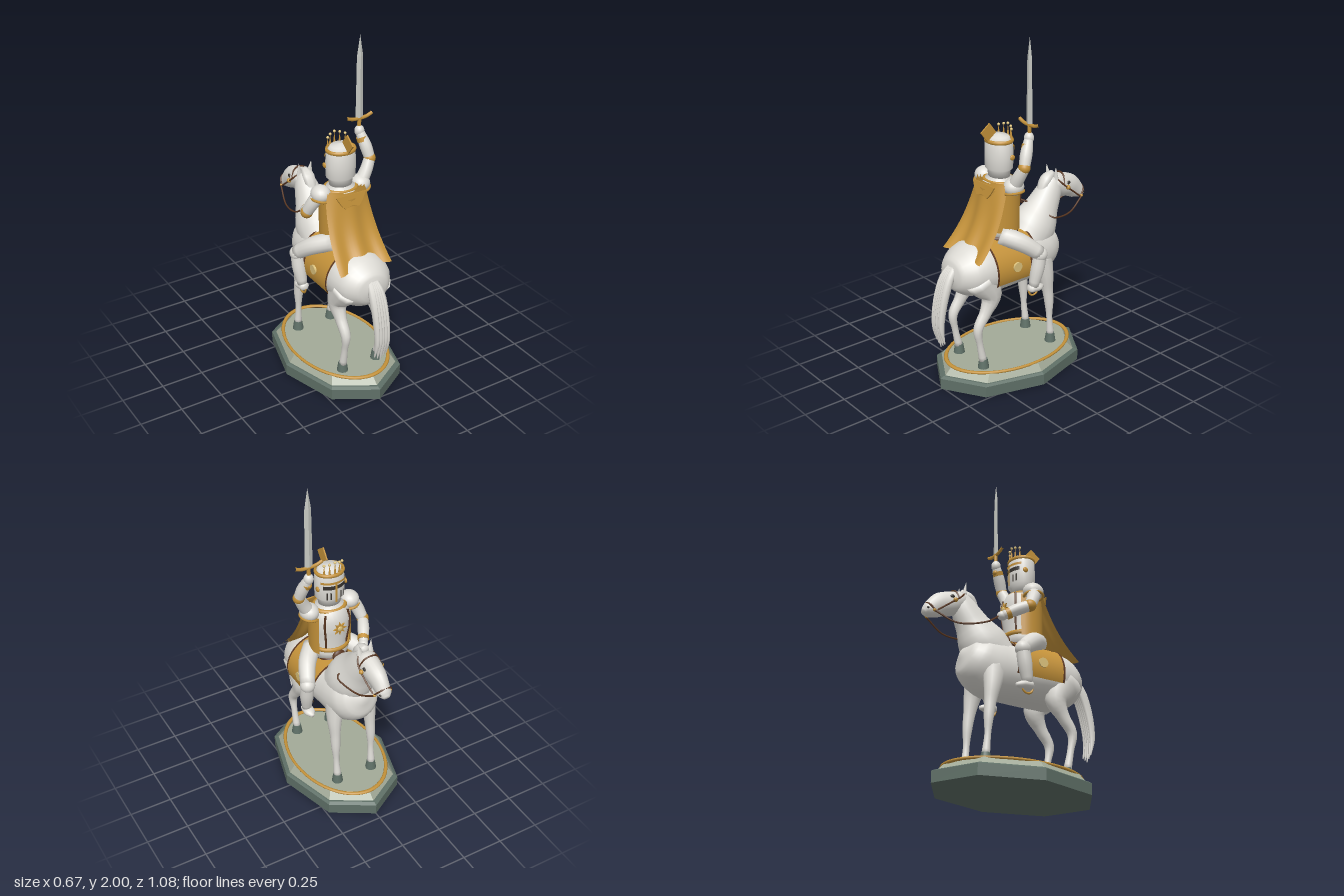
import * as THREE from 'three';

const mat = (name, color, double) => {
  const m = new THREE.MeshStandardMaterial({ color });
  m.name = name;
  if (double) m.side = THREE.DoubleSide;
  return m;
};
const V = (x, y, z) => new THREE.Vector3(x, y, z);

// Smooth closed body through points [x, y, z, rSide, rUp]
function loft(pts, radial = 14, steps = 4) {
  const curve = new THREE.CatmullRomCurve3(pts.map(p => V(p[0], p[1], p[2])));
  const radii = new THREE.CatmullRomCurve3(pts.map(p => V(p[3], p[4] ?? p[3], 0)));
  const n = (pts.length - 1) * steps, pos = [], idx = [];
  for (let i = 0; i <= n; i++) {
    const u = i / n, c = curve.getPoint(u), r = radii.getPoint(u), t = curve.getTangent(u);
    const side = V(1, 0, 0).addScaledVector(t, -t.x).normalize();
    const up = t.clone().cross(side);
    for (let j = 0; j < radial; j++) {
      const a = j / radial * Math.PI * 2;
      const p = c.clone().addScaledVector(side, Math.cos(a) * r.x).addScaledVector(up, Math.sin(a) * r.y);
      pos.push(p.x, p.y, p.z);
    }
  }
  for (let i = 0; i < n; i++) for (let j = 0; j < radial; j++) {
    const a = i * radial + j, b = i * radial + (j + 1) % radial;
    idx.push(a, b, a + radial, b, b + radial, a + radial);
  }
  const first = pts[0], last = pts[pts.length - 1], k = (n + 1) * radial, e = n * radial;
  pos.push(first[0], first[1], first[2], last[0], last[1], last[2]);
  for (let j = 0; j < radial; j++) {
    const q = (j + 1) % radial;
    idx.push(k, q, j, k + 1, e + j, e + q);
  }
  const g = new THREE.BufferGeometry();
  g.setAttribute('position', new THREE.Float32BufferAttribute(pos, 3));
  g.setIndex(idx);
  g.computeVertexNormals();
  return g;
}
const tube = (pts, r) => new THREE.TubeGeometry(new THREE.CatmullRomCurve3(pts.map(p => V(...p))), 20, r, 6);

export function createModel() {
  const model = new THREE.Group();
  const white = mat('white', 0xdedcd6), gold = mat('gold', 0xc4923a), cloth = mat('goldCloth', 0xc4923a, true);
  const green = mat('darkGreen', 0x5f7067), sage = mat('sage', 0xa2aa98), brown = mat('brown', 0x5b3822);
  const steel = mat('steel', 0xc6c8c2), dark = mat('dark', 0x38342f), pale = mat('paleGold', 0xdcc27c);
  const add = (name, g, m, p = [0, 0, 0], s = [1, 1, 1], r = [0, 0, 0]) => {
    const mesh = new THREE.Mesh(g, m);
    mesh.name = name;
    mesh.position.set(...p); mesh.scale.set(...s); mesh.rotation.set(...r);
    model.add(mesh);
    return mesh;
  };
  const ball = (name, m, p, s) => add(name, new THREE.SphereGeometry(1, 20, 14), m, p, typeof s === 'number' ? [s, s, s] : s);
  // Collar around a limb at point a, facing along a to b
  const cuff = (name, a, b, r, h = 0.025, m = gold) => {
    const c = add(name, new THREE.CylinderGeometry(r, r, h, 16), m, a);
    c.quaternion.setFromUnitVectors(V(0, 1, 0), V(...b).sub(V(...a)).normalize());
  };

  // Plinth: stretched octagon tiers with a gold ring
  const tier = (name, rt, rb, y0, y1, m) => {
    const g = new THREE.CylinderGeometry(rt, rb, y1 - y0, 8).toNonIndexed();
    g.computeVertexNormals();
    add(name, g, m, [0, (y0 + y1) / 2, 0.027], [1, 1, 1.46]);
  };
  tier('plinthBase', 0.333, 0.333, 0, 0.065, green);
  tier('plinthBevel', 0.318, 0.333, 0.065, 0.075, green);
  tier('plinthTop', 0.282, 0.31, 0.075, 0.115, sage);
  add('plinthRing', new THREE.TorusGeometry(0.266, 0.009, 8, 48), gold, [0, 0.117, 0.027], [1, 1.52, 0.9], [Math.PI / 2, 0, 0]);

  // Horse
  add('horseBody', loft([[0, 0.69, 0.44, 0.03, 0.03], [0, 0.69, 0.42, 0.1, 0.09], [0, 0.69, 0.35, 0.16, 0.14],
    [0, 0.695, 0.24, 0.18, 0.168], [0, 0.68, 0.1, 0.172, 0.15], [0, 0.69, -0.03, 0.162, 0.162], [0, 0.7, -0.12, 0.155, 0.175],
    [0, 0.725, -0.21, 0.14, 0.15], [0, 0.75, -0.27, 0.1, 0.1], [0, 0.76, -0.3, 0.02, 0.02]], 24), white);
  add('horseNeck', loft([[0, 0.74, -0.07, 0.13, 0.12], [0, 0.83, -0.16, 0.13, 0.14], [0, 0.94, -0.235, 0.09, 0.098],
    [0, 1.03, -0.29, 0.065, 0.075], [0, 1.09, -0.32, 0.045, 0.05]], 20), white);
  add('horseHead', loft([[0, 1.08, -0.275, 0.03, 0.03], [0, 1.06, -0.31, 0.058, 0.06], [0, 1.035, -0.37, 0.058, 0.07],
    [0, 1.015, -0.43, 0.052, 0.068], [0, 0.98, -0.48, 0.043, 0.055], [0, 0.955, -0.515, 0.038, 0.036], [0, 0.942, -0.535, 0.018, 0.016]], 18), white);
  add('horseMane', loft([[0, 1.12, -0.31, 0.02], [0, 1.09, -0.255, 0.038, 0.03], [0, 1.0, -0.205, 0.025, 0.02], [0, 0.9, -0.12, 0.01]], 8), white);
  for (const s of [-1, 1]) {
    add('horseEar', new THREE.ConeGeometry(0.02, 0.075, 8), white, [s * 0.037, 1.13, -0.3], [1, 1, 0.7], [0.1, 0, -s * 0.12]);
    ball('horseEye', dark, [s * 0.053, 1.055, -0.385], [0.007, 0.011, 0.013]);
    ball('horseNostril', dark, [s * 0.033, 0.963, -0.52], 0.007);
    add('foreLeg', loft([[s * 0.09, 0.68, -0.14, 0.06, 0.08], [s * 0.112, 0.56, -0.165, 0.042, 0.05], [s * 0.116, 0.46, -0.18, 0.03, 0.034],
      [s * 0.118, 0.37, -0.19, 0.026, 0.027], [s * 0.117, 0.27, -0.195, 0.017, 0.018], [s * 0.115, 0.16, -0.205, 0.023, 0.023]], 12), white);
    add('hindLeg', loft([[s * 0.1, 0.68, 0.3, 0.075, 0.11], [s * 0.112, 0.55, 0.235, 0.055, 0.065], [s * 0.117, 0.46, 0.275, 0.033, 0.038],
      [s * 0.118, 0.37, 0.332, 0.028, 0.028], [s * 0.117, 0.27, 0.32, 0.018, 0.019], [s * 0.115, 0.16, 0.298, 0.023, 0.023]], 12), white);
    for (const z of [-0.205, 0.295]) add('hoof', new THREE.CylinderGeometry(0.024, 0.033, 0.055, 14), green, [s * 0.115, 0.142, z]);
  }
  // Tail of five strands fanning at the end
  for (let i = -2; i <= 2; i++) {
    const x = i * 0.0165, q = Math.abs(i) * 0.015;
    add('tailStrand', loft([[x * 0.4, 0.75, 0.4, 0.02], [x * 0.8, 0.68, 0.455, 0.022, 0.027], [x, 0.55, 0.502, 0.016, 0.025],
      [x, 0.4, 0.522, 0.013, 0.018], [x * 1.15, 0.27 + q, 0.505, 0.003]], 8), white);
  }

  // Tack
  const arch = (name, len, z, rx, ry, half, m) => add(name,
    new THREE.CylinderGeometry(1, 1, len, 32, 1, true, Math.PI - half, half * 2).rotateX(Math.PI / 2), m, [0, 0.69, z], [rx, ry, 1]);
  arch('saddleCloth', 0.295, 0.098, 0.192, 0.178, 1.93, cloth);
  for (const z of [-0.046, 0.242]) arch('saddleClothHem', 0.012, z, 0.195, 0.181, 1.93, mat('brownTrim', 0x5b3822, true));
  ball('saddleSeat', brown, [0, 0.855, 0.09], [0.1, 0.035, 0.12]);
  ball('saddleCantle', brown, [0, 0.87, 0.19], [0.08, 0.03, 0.02]);
  ball('saddlePommel', brown, [0, 0.88, -0.02], [0.04, 0.04, 0.02]);
  for (const s of [-1, 1]) {
    add('clothBoss', new THREE.CylinderGeometry(0.028, 0.028, 0.012, 20), pale, [s * 0.192, 0.715, 0.107], [1, 1, 1], [0, 0, Math.PI / 2]);
    add('stirrupLeather', tube([[s * 0.185, 0.75, 0], [s * 0.193, 0.65, 0.005], [s * 0.2, 0.56, 0]], 0.009), brown);
    add('stirrup', new THREE.TorusGeometry(0.032, 0.006, 6, 20), gold, [s * 0.2, 0.545, 0], [1, 1, 1], [0, Math.PI / 2, 0]);
    add('bridleCheek', tube([[s * 0.03, 1.11, -0.295], [s * 0.063, 1.06, -0.335], [s * 0.062, 1.0, -0.41], [s * 0.052, 0.95, -0.475]], 0.005), brown);
    ball('bridleBoss', gold, [s * 0.064, 1.032, -0.372], 0.013);
    ball('bitRing', gold, [s * 0.05, 0.948, -0.49], 0.009);
  }
  add('browBand', tube([[-0.061, 1.05, -0.345], [-0.035, 1.1, -0.36], [0, 1.112, -0.365], [0.035, 1.1, -0.36], [0.061, 1.05, -0.345]], 0.005), brown);
  add('noseBand', tube([[-0.052, 0.948, -0.485], [-0.036, 0.985, -0.515], [0, 1.0, -0.522], [0.036, 0.985, -0.515], [0.052, 0.948, -0.485]], 0.005), brown);
  add('rightRein', tube([[0.052, 0.945, -0.49], [0.085, 0.885, -0.37], [0.12, 0.905, -0.21], [0.1, 0.915, -0.2]], 0.005), brown);
  add('leftRein', tube([[-0.052, 0.945, -0.49], [-0.09, 0.885, -0.37], [-0.12, 0.92, -0.2], [-0.11, 0.98, -0.12]], 0.005), brown);
  add('reinEnd', tube([[-0.11, 0.98, -0.1], [-0.06, 0.98, -0.125], [-0.02, 0.975, -0.14]], 0.006), brown);

  // Rider's body
  const lathe = pts => new THREE.LatheGeometry(pts.map(p => new THREE.Vector2(...p)), 28);
  add('torso', lathe([[0, 0.84], [0.1, 0.85], [0.112, 0.9], [0.1, 0.95], [0.118, 1.04], [0.12, 1.12], [0.095, 1.18], [0.06, 1.2], [0.06, 1.24], [0, 1.24]]), white, [0, 0, 0.085], [1, 1, 0.94]);
  add('tabardBack', new THREE.CylinderGeometry(0.124, 0.122, 0.25, 28, 1, true, -2.15, 4.3), cloth, [0, 1.025, 0.085], [1, 1, 0.95]);
  add('belt', new THREE.TorusGeometry(0.108, 0.01, 8, 28), gold, [0, 0.925, 0.085], [1, 0.94, 1.4], [Math.PI / 2, 0, 0]);
  add('gorget', new THREE.TorusGeometry(0.08, 0.014, 8, 28), gold, [0, 1.175, 0.085], [1.1, 0.95, 1], [Math.PI / 2, 0, 0]);
  const star = new THREE.Shape();
  for (let i = 0; i < 16; i++) {
    const r = i % 2 ? 0.02 : 0.042, a = i * Math.PI / 8;
    star[i ? 'lineTo' : 'moveTo'](r * Math.cos(a), r * Math.sin(a));
  }
  add('breastStar', new THREE.ExtrudeGeometry(star, { depth: 0.008, bevelEnabled: false }), gold, [0, 1.08, -0.036]);
  ball('breastStarCentre', pale, [0, 1.08, -0.036], [0.016, 0.016, 0.006]);
  for (const s of [-1, 1]) add('breastStrap', tube([[s * 0.07, 1.17, 0.005], [s * 0.08, 1.1, -0.003], [s * 0.07, 1.0, 0.004], [s * 0.065, 0.94, 0.01]], 0.006), brown);

  // Cape: flared sheet swept backwards
  const cape = new THREE.PlaneGeometry(2, 1, 20, 14), cp = cape.attributes.position;
  for (let i = 0; i < cp.count; i++) {
    const u = cp.getX(i), v = 0.5 - cp.getY(i);
    const fold = 0.012 * v * Math.cos(u * 7) - (1 - v) * 0.05 * u * u;
    cp.setXYZ(i, u * (0.125 + 0.042 * v), 1.185 - 0.39 * v - 0.012 * v * u * u, 0.187 + 0.06 * v + 0.1 * v ** 3 + fold);
  }
  cape.computeVertexNormals();
  add('cape', cape, cloth);
  const lining = add('capeInner', cape, cloth, [0, 0.002, -0.016]);
  lining.scale.x = 0.98;
  const mantle = new THREE.Shape([[-0.095, 0.025], [0.095, 0.025], [0.07, -0.02], [0.045, -0.05], [0, -0.035], [-0.045, -0.05], [-0.07, -0.02]].map(p => new THREE.Vector2(...p)));
  add('capeMantle', new THREE.ExtrudeGeometry(mantle, { depth: 0.008, bevelEnabled: false }), gold, [0, 1.15, 0.192], [1, 1, 1], [-0.2, 0, 0]);

  // Helmet, crown and crest
  add('helmet', lathe([[0, 1.2], [0.066, 1.2], [0.07, 1.235], [0.085, 1.25], [0.088, 1.32], [0.084, 1.4], [0.06, 1.432], [0, 1.442]]), white, [0, 0, 0.085], [1, 1, 0.86]);
  add('crownBand', new THREE.TorusGeometry(0.08, 0.009, 8, 32), gold, [0, 1.408, 0.085], [1, 0.88, 1.3], [Math.PI / 2, 0, 0]);
  for (let i = -2; i <= 2; i++) {
    const a = i * 0.42, x = 0.075 * Math.sin(a), z = 0.085 - 0.064 * Math.cos(a), h = 0.075 - Math.abs(i) * 0.008;
    add('crownSpike', new THREE.ConeGeometry(0.008, h, 8), gold, [x, 1.41 + h / 2, z]);
    ball('crownPearl', pale, [x, 1.412 + h, z], 0.008);
  }
  add('helmetCrest', new THREE.BoxGeometry(0.008, 0.072, 0.075), gold, [0, 1.462, 0.158], [1, 1, 1], [0.65, 0, 0]);
  const face = (name, r, h, y, a, m, off = 0) => add(name, new THREE.CylinderGeometry(r, r, h, 12, 1, true, Math.PI + off - a, a * 2), m, [0, y, 0.085], [1, 1, 0.87]);
  const darkFace = mat('darkVisor', 0x38342f, true);
  face('browPlate', 0.093, 0.014, 1.365, 1.0, cloth);
  face('eyeSlit', 0.0905, 0.024, 1.335, 0.85, darkFace);
  face('visorRidge', 0.094, 0.12, 1.3, 0.07, cloth);
  for (const o of [-0.6, -0.35, 0.35, 0.6]) face('breathSlot', 0.0905, 0.045, 1.28, 0.05, darkFace, o);
  for (const s of [-1, 1]) ball('visorPivot', gold, [s * 0.088, 1.32, 0.06], [0.008, 0.016, 0.016]);

  // Raised sword arm
  const rs = [0.132, 1.17, 0.085], re = [0.2, 1.295, 0.07], rh = [0.168, 1.445, 0.012];
  add('rightUpperArm', loft([[...rs, 0.04], [0.17, 1.235, 0.082, 0.036], [...re, 0.032]]), white);
  add('rightForearm', loft([[...re, 0.03], [0.188, 1.36, 0.048, 0.034], [...rh, 0.024]]), white);
  ball('rightElbow', gold, re, 0.034);
  cuff('rightCuff', [0.175, 1.4, 0.03], rh, 0.031);
  ball('rightHand', white, rh, [0.028, 0.033, 0.028]);
  // Rein arm
  const ls = [-0.132, 1.17, 0.085], le = [-0.185, 1.045, 0.03], lh = [-0.11, 0.98, -0.105];
  add('leftUpperArm', loft([[...ls, 0.04], [-0.165, 1.11, 0.062, 0.037], [...le, 0.032]]), white);
  add('leftForearm', loft([[...le, 0.03], [-0.155, 1.02, -0.03, 0.034], [...lh, 0.024]]), white);
  ball('leftElbow', gold, le, 0.035);
  cuff('leftCuff', [-0.127, 0.995, -0.075], lh, 0.032);
  ball('leftHand', white, lh, [0.026, 0.026, 0.03]);
  for (const s of [-1, 1]) {
    ball('pauldron', white, [s * 0.128, 1.168, 0.085], [0.056, 0.05, 0.06]);
    add('pauldronTrim', new THREE.TorusGeometry(0.05, 0.008, 6, 24), gold, [s * 0.132, 1.138, 0.085], [1, 1.1, 1], [Math.PI / 2, s * 0.2, 0]);
  }

  // Rider's legs
  for (const s of [-1, 1]) {
    add('thigh', loft([[s * 0.08, 0.88, 0.14, 0.055], [s * 0.16, 0.84, 0.06, 0.052], [s * 0.212, 0.765, -0.035, 0.042]]), white);
    ball('knee', white, [s * 0.212, 0.76, -0.035], 0.044);
    add('shin', loft([[s * 0.212, 0.76, -0.035, 0.038], [s * 0.21, 0.68, -0.022, 0.04], [s * 0.202, 0.57, 0, 0.028]]), white);
    add('foot', loft([[s * 0.2, 0.562, 0.035, 0.012], [s * 0.2, 0.56, 0.02, 0.03, 0.025], [s * 0.2, 0.555, -0.03, 0.033, 0.023], [s * 0.2, 0.55, -0.07, 0.01]]), white);
  }

  // Sword
  const sx = 0.168, sz = 0.01;
  add('swordGrip', new THREE.CylinderGeometry(0.011, 0.011, 0.12, 12), gold, [sx, 1.465, sz]);
  ball('swordPommel', gold, [sx, 1.4, sz], 0.016);
  add('swordGuard', tube([[0.086, 1.535, sz], [0.12, 1.522, sz], [sx, 1.518, sz], [0.216, 1.522, sz], [0.25, 1.535, sz]], 0.01), gold);
  const blade = (name, rt, rb, y0, y1) => {
    const g = new THREE.CylinderGeometry(rt, rb, y1 - y0, 4).toNonIndexed();
    g.computeVertexNormals();
    add(name, g, steel, [sx, (y0 + y1) / 2, sz], [1, 1, 0.4]);
  };
  blade('swordBlade', 0.02, 0.025, 1.52, 1.88);
  blade('swordTip', 0.0005, 0.02, 1.88, 2.0);
  return model;
}
